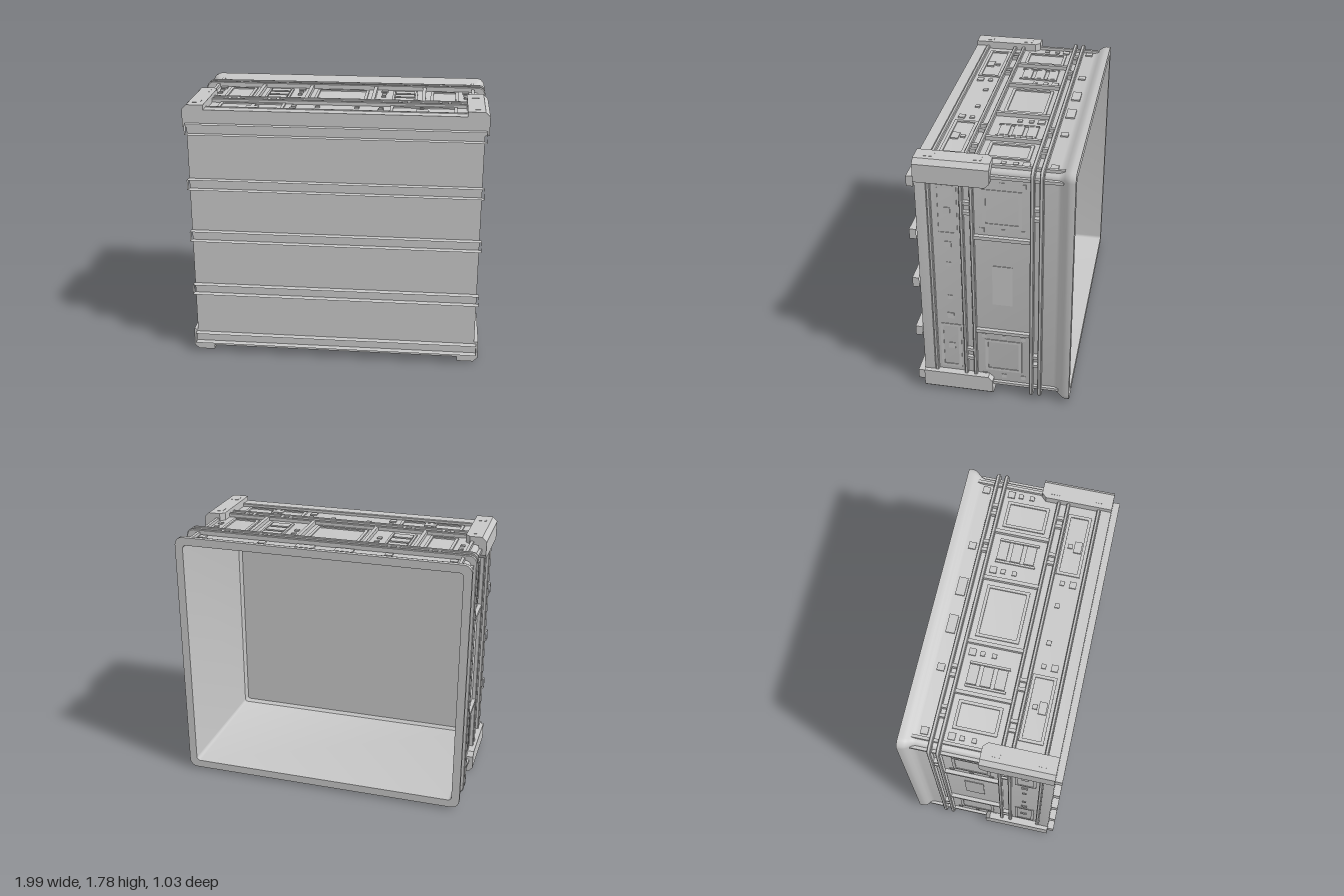
import * as THREE from 'three';
import { toCreasedNormals } from 'three/addons/utils/BufferGeometryUtils.js';

const CY = 0.902; // height of the crate's centre axis
const grey = new THREE.MeshStandardMaterial({ color: 0xc8c8c8, side: THREE.DoubleSide });
grey.name = 'crate light grey';

function mesh(parent, name, geometry) {
  const m = new THREE.Mesh(geometry, grey);
  m.name = name;
  parent.add(m);
  return m;
}

// Skin of rounded rectangles; each section is [z, half width, half height, corner radius]
function loft(sections) {
  const seg = 5, n = 4 * (seg + 1), pos = [], index = [];
  for (const [z, hx, hy, r] of sections) {
    for (let q = 0; q < 4; q++) {
      const sx = q === 0 || q === 3 ? 1 : -1, sy = q < 2 ? 1 : -1;
      for (let k = 0; k <= seg; k++) {
        const a = (q + k / seg) * Math.PI / 2;
        pos.push(sx * (hx - r) + r * Math.cos(a), sy * (hy - r) + r * Math.sin(a), z);
      }
    }
  }
  for (let i = 0; i < sections.length - 1; i++) {
    for (let j = 0; j < n; j++) {
      const a = i * n + j, b = i * n + (j + 1) % n;
      index.push(a, a + n, b, b, a + n, b + n);
    }
  }
  const g = new THREE.BufferGeometry();
  g.setAttribute('position', new THREE.Float32BufferAttribute(pos, 3));
  g.setIndex(index);
  return toCreasedNormals(g, 0.6);
}

// Raised band running round all four walls
function ring(parent, name, z0, z1, hx, hy, r) {
  const t = 0.035, b = 0.005;
  mesh(parent, name, loft([
    [z1, hx - t, hy - t, r], [z1, hx - b, hy - b, r], [z1 - b, hx, hy, r],
    [z0 + b, hx, hy, r], [z0, hx - b, hy - b, r], [z0, hx - t, hy - t, r]]));
}

// Box on a wall: u along the wall, z in depth, from height h0 to h1 outwards
function slab(parent, name, u0, u1, z0, z1, h0, h1) {
  mesh(parent, name, new THREE.BoxGeometry(u1 - u0, h1 - h0, z1 - z0))
    .position.set((u0 + u1) / 2, (h0 + h1) / 2, (z0 + z1) / 2);
}

// Thin rectangular border, t high
function framed(parent, name, u0, u1, z0, z1, h, t) {
  const w = 0.02;
  slab(parent, name, u0, u1, z0, z0 + w, h, h + t);
  slab(parent, name, u0, u1, z1 - w, z1, h, h + t);
  slab(parent, name, u0, u0 + w, z0 + w, z1 - w, h, h + t);
  slab(parent, name, u1 - w, u1, z0 + w, z1 - w, h, h + t);
}

function stud(parent, u, z, h, t, s = 0.015) {
  slab(parent, 'stud', u - s, u + s, z - s, z + s, h, h + t);
}

// Ribs shared by every wall
function wallRibs(p, h, half, bays, rungs) {
  for (const s of [-1, 1]) {
    for (const u of bays) slab(p, 'bayRib', s * u - 0.012, s * u + 0.012, -0.25, 0.12, h - 0.005, h + 0.026);
    for (const u of rungs) {
      slab(p, 'rung', s * u - 0.011, s * u + 0.011, 0.125, 0.18, h - 0.005, h + 0.025);
      slab(p, 'rung', s * u - 0.011, s * u + 0.011, -0.31, -0.26, h - 0.005, h + 0.033);
    }
    slab(p, 'cornerRib', s * half - 0.01, s * half + 0.01, -0.44, 0.02, h - 0.005, h + 0.02);
  }
}

// Top and bottom walls
function wideWall(h) {
  const p = new THREE.Group(), t = 0.009;
  wallRibs(p, h, 0.9, [0.225, 0.565], [0.41, 0.47, 0.68, 0.74]);
  framed(p, 'centrePanel', -0.18, 0.18, -0.21, 0.07, h, t);
  for (const s of [-1, 1]) {
    const plate = (name, a, b, z0, z1) => slab(p, name, Math.min(s * a, s * b), Math.max(s * a, s * b), z0, z1, h, h + t);
    framed(p, 'outerPanel', s * 0.705 - 0.095, s * 0.705 + 0.095, -0.21, 0.07, h, t);
    framed(p, 'frontPanel', s * 0.57 - 0.22, s * 0.57 + 0.22, 0.2, 0.355, h, t);
    plate('ladderSide', 0.35, 0.365, -0.2, 0.06);
    plate('ladderSide', 0.505, 0.52, -0.2, 0.06);
    for (const z of [-0.165, -0.075, 0.015]) plate('ladderStep', 0.37, 0.5, z - 0.033, z + 0.033);
    for (const u of [0.29, 0.85]) {
      stud(p, s * u, -0.2, h, t, 0.023);
      stud(p, s * u, -0.135, h, t);
      stud(p, s * u, -0.06, h, t);
    }
    for (const u of [0.13, 0.29, 0.56]) stud(p, s * u, 0.255, h, t);
    stud(p, s * 0.29, 0.325, h, t, 0.022);
    plate('frontLatch', 0.52, 0.6, 0.28, 0.33);
    plate('rearLatch', 0.07, 0.195, -0.4, -0.34);
    for (const u of [0.43, 0.85]) stud(p, s * u, -0.37, h, t, 0.024);
  }
  return p;
}

// Left and right walls
function tallWall(h) {
  const p = new THREE.Group(), t = 0.004;
  wallRibs(p, h, 0.8, [0.365], [0.535, 0.605]);
  slab(p, 'centrePlate', -0.15, 0.15, -0.13, 0.0, h, h + t);
  for (const s of [-1, 1]) {
    framed(p, 'bayPanel', s * 0.575 - 0.13, s * 0.575 + 0.13, -0.19, 0.055, h, t);
    framed(p, 'frontPanel', s * 0.53 - 0.18, s * 0.53 + 0.18, 0.215, 0.355, h, t);
    for (const z of [-0.2, -0.07, 0.06]) {
      stud(p, s * 0.415, z, h, t);
      stud(p, s * 0.745, z, h, t);
    }
    stud(p, s * 0.13, 0.28, h, t);
    stud(p, s * 0.28, 0.28, h, t, 0.022);
    stud(p, s * 0.53, 0.28, h, t, 0.022);
  }
  return p;
}

// L-shaped corner guard whose rear leg ends are cut at an angle
function cornerGuard(sx, sy) {
  const X = 0.995, Y = 0.89, c = 0.03, ix = 0.942, iy = 0.833, ex = 0.853, ey = 0.738;
  const pts = [[X, ey], [X, Y - c], [X - c, Y], [ex, Y], [ex, iy], [ix, iy], [ix, ey]]
    .map(([x, y]) => new THREE.Vector2(sx * x, sy * y));
  const g = new THREE.Group();
  for (const [z, depth] of [[0.03, 0.44], [0, 0.03]]) {
    const geo = new THREE.ExtrudeGeometry(new THREE.Shape(pts), { depth, bevelEnabled: false });
    geo.translate(0, 0, z);
    const p = geo.attributes.position;
    for (let i = 0; i < p.count; i++) {
      if (p.getZ(i) > 0.001) continue;
      if (Math.abs(Math.abs(p.getX(i)) - ex) < 1e-4) p.setX(i, sx * (ex + 0.03));
      if (Math.abs(Math.abs(p.getY(i)) - ey) < 1e-4) p.setY(i, sy * (ey + 0.03));
    }
    geo.computeVertexNormals();
    mesh(g, 'cornerGuardBody', geo);
  }
  for (const z of [0.09, 0.38]) {
    mesh(g, 'guardPad', new THREE.BoxGeometry(0.05, 0.006, 0.06)).position.set(sx * 0.91, sy * 0.889, z);
  }
  return g;
}

export function createModel() {
  const model = new THREE.Group();
  const crate = new THREE.Group();
  crate.name = 'crate';
  crate.position.y = CY;
  model.add(crate);

  // Shell: closed front, recessed walls, softly flared rim at the back and open inside
  mesh(crate, 'shell', loft([
    [0.47, 0, 0, 0], [0.47, 0.967, 0.858, 0.03], [0.4, 0.967, 0.858, 0.03], [0.4, 0.947, 0.838, 0.03],
    [-0.405, 0.947, 0.838, 0.03], [-0.425, 0.953, 0.844, 0.035], [-0.445, 0.968, 0.856, 0.042],
    [-0.465, 0.983, 0.869, 0.05], [-0.485, 0.99, 0.875, 0.055], [-0.515, 0.99, 0.875, 0.055],
    [-0.515, 0.936, 0.821, 0.025], [0.43, 0.93, 0.815, 0.02],
    [0.45, 0.91, 0.795, 0.015], [0.45, 0, 0, 0]]));

  // Bands round the walls
  ring(crate, 'frontBand', 0.375, 0.398, 0.97, 0.861, 0.03);
  ring(crate, 'middleBand', 0.172, 0.195, 0.975, 0.866, 0.03);
  ring(crate, 'middleBand', 0.108, 0.131, 0.975, 0.866, 0.03);
  ring(crate, 'rearBand', -0.27, -0.245, 0.988, 0.874, 0.045);
  ring(crate, 'rearBand', -0.326, -0.301, 0.988, 0.874, 0.045);

  // Four detailed walls
  ['topWall', 'rightWall', 'bottomWall', 'leftWall'].forEach((name, i) => {
    const wall = i % 2 ? tallWall(0.947) : wideWall(0.838);
    wall.name = name;
    wall.rotation.z = i * Math.PI / 2;
    crate.add(wall);
  });

  // Corner guards
  for (const sx of [-1, 1]) for (const sy of [-1, 1]) {
    const guard = cornerGuard(sx, sy);
    guard.name = 'cornerGuard';
    crate.add(guard);
  }

  // Open channels across the front: only the box's ends, top and bottom are kept
  const rail = new THREE.BoxGeometry(1.955, 0.07, 0.0445);
  rail.setIndex([...rail.index.array.slice(0, 24)]);
  for (const y of [0.115, 0.49, 0.885, 1.255, 1.635]) {
    mesh(model, 'frontRail', rail).position.set(0.003, y, 0.493);
  }
  return model;
}
